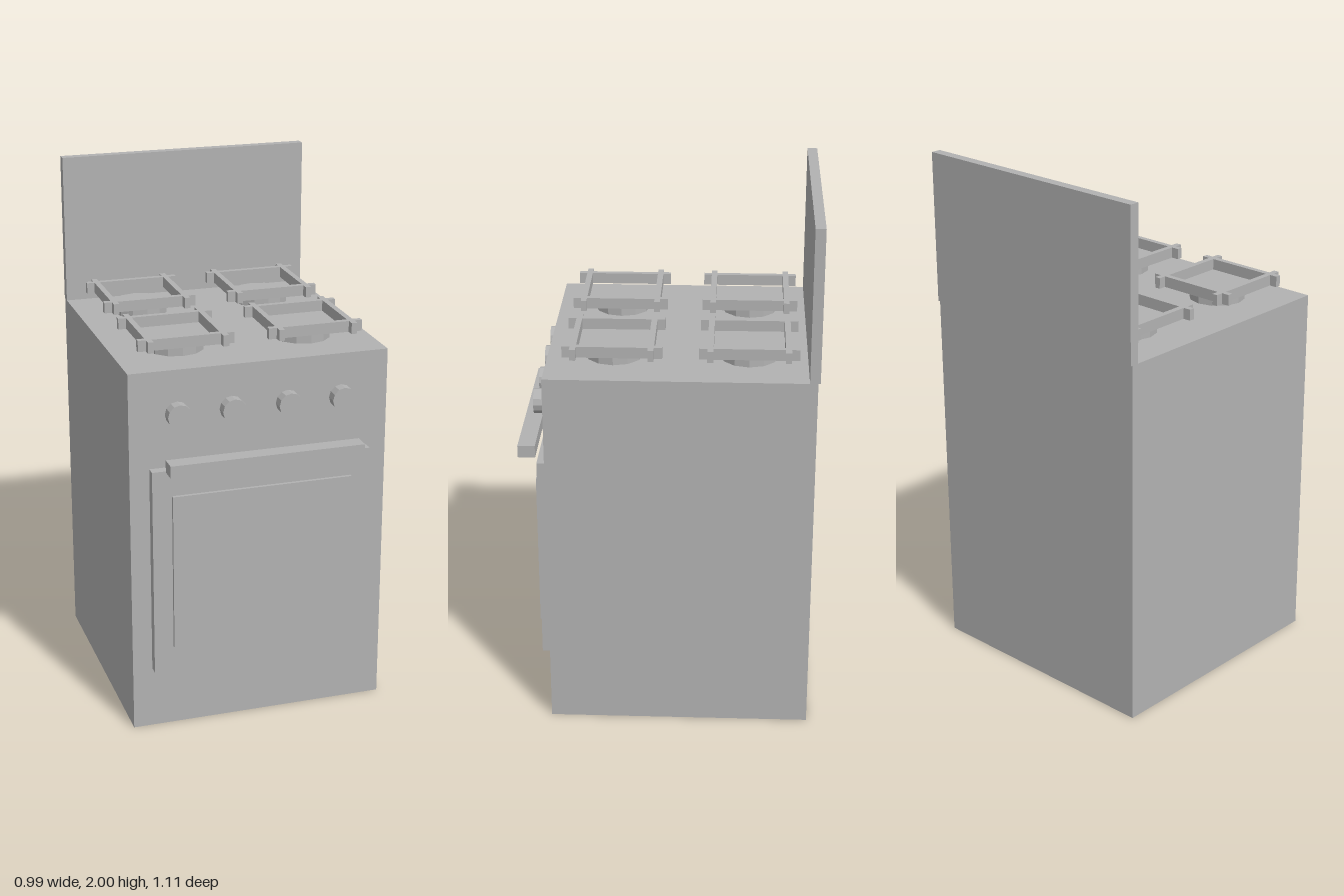
import * as THREE from 'three';

export function createModel() {
  const stove = new THREE.Group();
  stove.name = 'stove';
  const enamel = new THREE.MeshStandardMaterial({ color: 0xb2b2b2, flatShading: true });
  enamel.name = 'grey enamel';

  const add = (name, geometry, x = 0, y = 0, z = 0) => {
    const mesh = new THREE.Mesh(geometry, enamel);
    mesh.name = name;
    mesh.position.set(x, y, z);
    stove.add(mesh);
    return mesh;
  };
  // Box given by half width and its y and z ranges, centred on x = 0
  const addBox = (name, halfWidth, y0, y1, z0, z1) =>
    add(name, new THREE.BoxGeometry(halfWidth * 2, y1 - y0, z1 - z0), 0, (y0 + y1) / 2, (z0 + z1) / 2);

  addBox('body', 0.496, 0, 1.422, -0.549, 0.441);
  addBox('backPanel', 0.496, 1.422, 2, -0.557, -0.519);
  addBox('ovenDoor', 0.421, 0.242, 1.052, 0.441, 0.478);
  addBox('ovenWindow', 0.347, 0.342, 0.952, 0.478, 0.491);
  addBox('doorHandle', 0.372, 1.052, 1.099, 0.488, 0.553);

  // Control knobs
  const knob = new THREE.CylinderGeometry(0.046, 0.046, 0.043, 12).rotateX(Math.PI / 2);
  for (const x of [-0.316, -0.11, 0.105, 0.312]) add('knob', knob, x, 1.258, 0.469);

  // Grate: square frame of four crossing bars, with overhanging ends
  const inner = 0.13, outer = 0.152, end = 0.182;
  const corner = [[outer, inner], [end, inner], [end, outer], [outer, outer],
    [outer, end], [inner, end], [inner, outer]];
  const outline = [];
  for (let k = 0; k < 4; k++) {
    for (const [x, y] of corner) {
      outline.push(new THREE.Vector2(x, y).rotateAround(new THREE.Vector2(), k * Math.PI / 2));
    }
  }
  const frame = new THREE.Shape(outline);
  frame.holes.push(new THREE.Path([[-1, -1], [-1, 1], [1, 1], [1, -1]]
    .map(([x, y]) => new THREE.Vector2(x * inner, y * inner))));
  const grate = new THREE.ExtrudeGeometry(frame, { depth: 0.042, bevelEnabled: false }).rotateX(-Math.PI / 2);

  // Four burners, each below a grate
  const burner = new THREE.CylinderGeometry(0.107, 0.107, 0.039, 12);
  for (const x of [-0.249, 0.247]) {
    for (const z of [-0.303, 0.194]) {
      add('burner', burner, x, 1.4415, z);
      add('grate', grate, x, 1.469, z);
    }
  }
  return stove;
}
